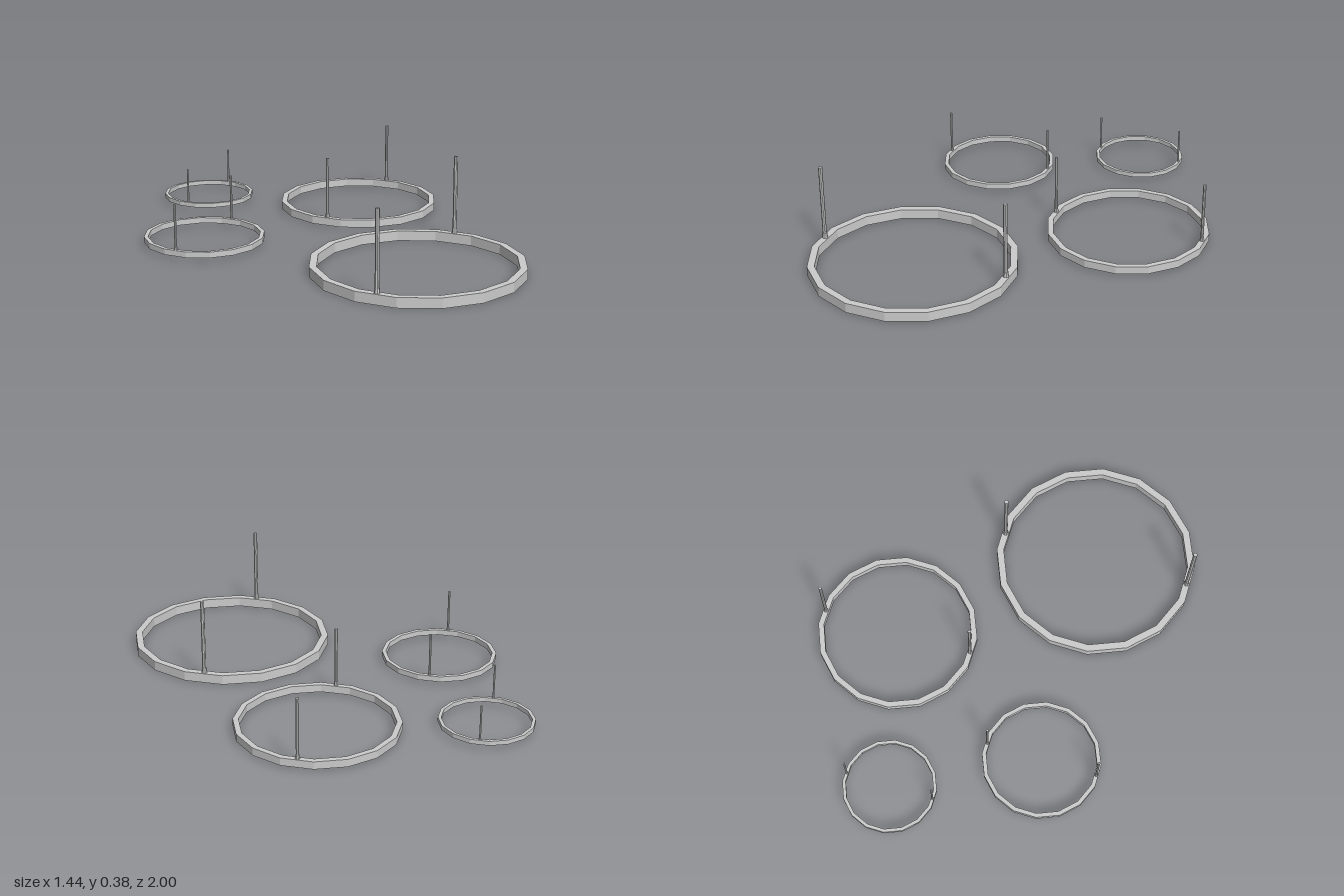
import * as THREE from 'three';

const material = new THREE.MeshStandardMaterial({ color: 0xcccccc, flatShading: true });
const SIDES = 16;
const TOP = 0.043; // all rings share this upper level

function polygon(target, radius) {
  const points = [];
  for (let i = 0; i < SIDES; i++) {
    const a = (i / SIDES) * Math.PI * 2;
    points.push(new THREE.Vector2(Math.cos(a) * radius, Math.sin(a) * radius));
  }
  return target.setFromPoints(points).closePath();
}

function add(parent, name, geometry, x = 0, y = 0, z = 0) {
  const mesh = new THREE.Mesh(geometry, material);
  mesh.name = name;
  mesh.position.set(x, y, z);
  parent.add(mesh);
}

// One hanging ring light: every size scales with its radius
function ringLight(name, r, x, z) {
  const group = new THREE.Group();
  group.name = name;
  group.position.set(x, TOP, z);

  // Flat-sided hoop, rectangular in section
  const width = 0.07 * r, height = 0.0965 * r;
  const shape = polygon(new THREE.Shape(), r);
  shape.holes.push(polygon(new THREE.Path(), r - width));
  const hoop = new THREE.ExtrudeGeometry(shape, { depth: height, bevelEnabled: false });
  hoop.rotateX(Math.PI / 2);
  add(group, 'hoop', hoop);

  // Two opposite rods, each centred on a hoop segment, with a flared foot
  const half = Math.PI / SIDES;
  const reach = (r - width / 2) * Math.cos(half);
  const rodLength = 0.758 * r, footHeight = 0.05 * r;
  for (const side of [-1, 1]) {
    const px = side * reach * Math.cos(half);
    const pz = -side * reach * Math.sin(half);
    add(group, 'rod', new THREE.CylinderGeometry(0.02 * r, 0.02 * r, rodLength, 8), px, rodLength / 2, pz);
    add(group, 'rodFoot', new THREE.CylinderGeometry(0.024 * r, 0.028 * r, footHeight, 8), px, footHeight / 2, pz);
  }
  return group;
}

export function createModel() {
  const model = new THREE.Group();
  model.name = 'ringLights';
  model.add(
    ringLight('largestRing', 0.445, -0.245, 0.554),
    ringLight('largeRing', 0.353, 0.367, -0.169),
    ringLight('mediumRing', 0.257, -0.463, -0.386),
    ringLight('smallRing', 0.203, 0.054, -0.797),
  );
  return model;
}
